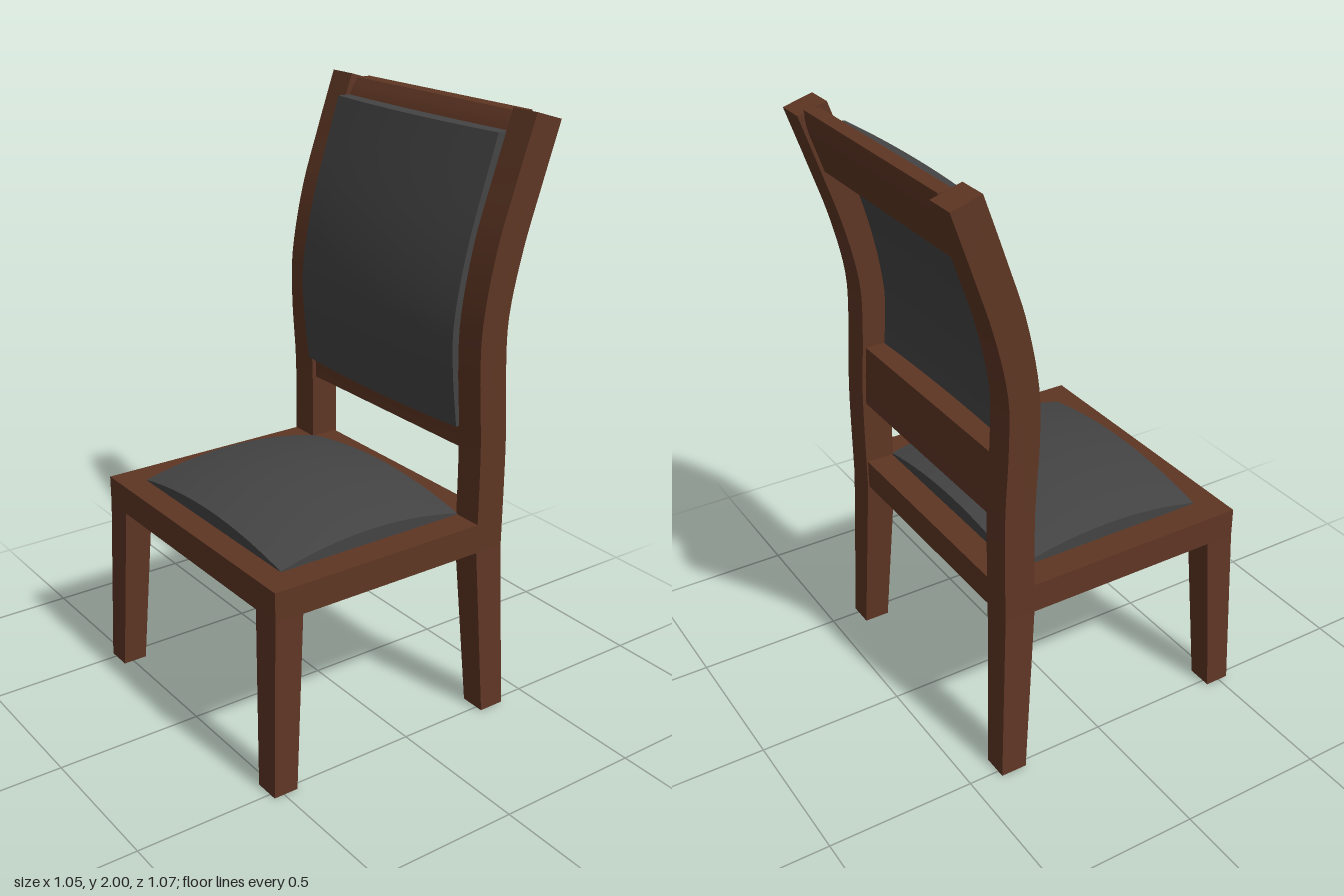
import * as THREE from 'three';
import { toCreasedNormals } from 'three/addons/utils/BufferGeometryUtils.js';

const wood = new THREE.MeshStandardMaterial({ color: 0x5f3624 });
wood.name = 'brown wood';
const fabric = new THREE.MeshStandardMaterial({ color: 0x444444 });
fabric.name = 'dark grey upholstery';

const curve = (pts) => new THREE.SplineCurve(pts.map(([z, y]) => new THREE.Vector2(z, y)));

// z on a curve at height y
function zAt(points, y) {
  for (let i = 1; i < points.length; i++) {
    const a = points[i - 1], b = points[i];
    if (y <= b.y || i === points.length - 1) return a.x + ((b.x - a.x) * (y - a.y)) / (b.y - a.y);
  }
}

// Side profile in (z, y), extruded along x from x0 to x1
function sideExtrude(points, x0, x1) {
  const geo = new THREE.ExtrudeGeometry(new THREE.Shape(points), { depth: x1 - x0, bevelEnabled: false });
  geo.rotateY(-Math.PI / 2).translate(x1, 0, 0);
  return toCreasedNormals(geo, 0.5);
}

// Box whose bottom end is a different rectangle from its top: [x0, x1, z0, z1]
function taperedLeg(top, bottom, height) {
  const geo = new THREE.BoxGeometry(1, 1, 1);
  const p = geo.attributes.position;
  for (let i = 0; i < p.count; i++) {
    const r = p.getY(i) > 0 ? top : bottom;
    p.setXYZ(i, p.getX(i) < 0 ? r[0] : r[1], p.getY(i) > 0 ? height : 0, p.getZ(i) < 0 ? r[2] : r[3]);
  }
  geo.computeVertexNormals();
  return geo;
}

// Box bent by a rule that receives coordinates from -0.5 to 0.5
function bentBox(sx, sy, sz, rule) {
  const geo = new THREE.BoxGeometry(1, 1, 1, sx, sy, sz);
  const p = geo.attributes.position;
  for (let i = 0; i < p.count; i++) p.setXYZ(i, ...rule(p.getX(i), p.getY(i), p.getZ(i)));
  return toCreasedNormals(geo, 0.7);
}

export function createModel() {
  const chair = new THREE.Group();
  chair.name = 'chair';
  const add = (name, geo, mat) => {
    const mesh = new THREE.Mesh(geo, mat);
    mesh.name = name;
    chair.add(mesh);
  };
  const dome = (u) => 1 - 4 * u * u;

  // Curved back posts
  const front = curve([[-0.265, 0.6], [-0.265, 0.95], [-0.25, 1.2], [-0.253, 1.38], [-0.295, 1.6], [-0.36, 1.8], [-0.43, 2]]).getPoints(28);
  const back = curve([[-0.37, 0.6], [-0.37, 0.95], [-0.356, 1.2], [-0.357, 1.38], [-0.4, 1.58], [-0.465, 1.78], [-0.53, 1.97]]).getPoints(28);
  const postOutline = [...front, ...back.slice().reverse()];

  for (const side of [1, -1]) {
    const span = (a, b) => (side > 0 ? [a, b] : [-b, -a]);
    const label = side > 0 ? 'left' : 'right';
    add(label + 'BackPost', sideExtrude(postOutline, ...span(0.405, 0.51)), wood);
    add(label + 'FrontLeg', taperedLeg([...span(0.405, 0.51), 0.415, 0.515], [...span(0.437, 0.525), 0.45, 0.535], 0.6), wood);
    add(label + 'BackLeg', taperedLeg([...span(0.405, 0.51), -0.37, -0.265], [...span(0.437, 0.525), -0.395, -0.305], 0.6), wood);
  }

  // Open seat frame
  const rect = (T, x, z0, z1) => new T([[-x, z0], [x, z0], [x, z1], [-x, z1]].map(([a, b]) => new THREE.Vector2(a, b)));
  const frame = rect(THREE.Shape, 0.51, -0.515, 0.365);
  frame.holes.push(rect(THREE.Path, 0.41, -0.425, 0.27));
  const frameGeo = new THREE.ExtrudeGeometry(frame, { depth: 0.1, bevelEnabled: false });
  add('seatFrame', frameGeo.rotateX(-Math.PI / 2).translate(0, 0.6, 0), wood);

  // Domed seat cushion
  add('seatCushion', bentBox(20, 1, 20, (x, y, z) => {
    const d = dome(x) + dome(z);
    return [x * 0.818, y > 0 ? 0.702 + 0.044 * d : 0.665 + 0.02 * d, 0.08 + z * 0.695];
  }), fabric);

  // Back rails following the curve of the posts
  const rail = (y0, y1, topInset) => {
    const n = 8, f = [], b = [];
    for (let i = 0; i <= n; i++) {
      const t = i / n, y = y0 + (y1 - y0) * t;
      const round = topInset * Math.max(0, t - 0.6) ** 2;
      f.push(new THREE.Vector2(zAt(front, y) - 0.015 - round, y));
      b.push(new THREE.Vector2(zAt(back, y) + 0.012 + round, y));
    }
    return sideExtrude([...f, ...b.reverse()], -0.407, 0.407);
  };
  add('topRail', rail(1.78, 1.985, 0.1), wood);
  add('lowerRail', rail(0.93, 1.14, 0), wood);

  // Curved, slightly bulging back cushion
  const face = curve([[-0.25, 1.01], [-0.228, 1.2], [-0.226, 1.36], [-0.272, 1.6], [-0.375, 1.93]]).getPoints(40);
  add('backCushion', bentBox(16, 20, 1, (x, y, z) => {
    const h = 1.47 + y * 0.92;
    const bulge = 0.019 * dome(x);
    return [x * 0.812, h, zAt(face, h) + (z > 0 ? bulge : bulge * 0.5 - 0.045)];
  }), fabric);

  return chair;
}
